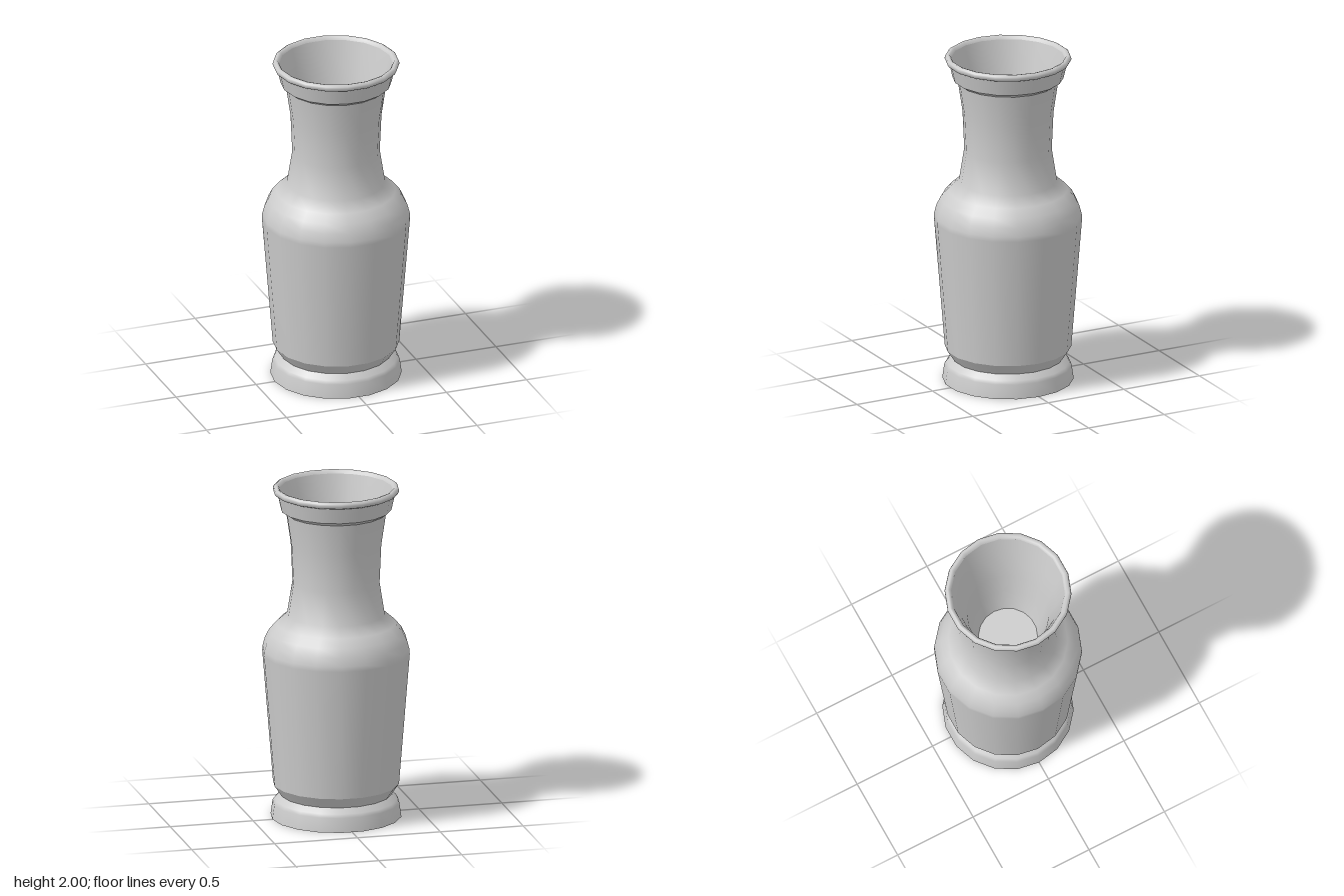
import * as THREE from 'three';

const SIDES = 18;

// Each section is a smooth [radius, height] profile; creases fall between sections.
const SECTIONS = {
  baseUnderside: [[0, 0], [0.384, 0]],
  foot: [[0.384, 0], [0.372, 0.085], [0.358, 0.105], [0.326, 0.135]],
  footBevel: [[0.326, 0.135], [0.37, 0.2]],
  body: [
    [0.37, 0.2], [0.433, 0.99], [0.431, 1.02], [0.418, 1.07], [0.393, 1.12],
    [0.35, 1.17], [0.287, 1.225], [0.256, 1.42], [0.266, 1.65], [0.294, 1.84],
  ],
  collarUnderside: [[0.294, 1.84], [0.325, 1.862]],
  collar: [[0.325, 1.862], [0.346, 1.955]],
  lip: [
    [0.346, 1.955], [0.363, 1.962], [0.371, 1.977], [0.368, 1.991],
    [0.355, 2], [0.341, 1.996], [0.332, 1.98],
  ],
  innerWall: [[0.332, 1.98], [0.285, 1.8], [0.24, 1.6], [0.215, 1.42], [0.173, 1.23]],
  innerFloor: [[0.173, 1.23], [0, 1.23]],
};

export function createModel() {
  const vase = new THREE.Group();
  vase.name = 'vase';
  const material = new THREE.MeshStandardMaterial({ color: 0xcccccc });

  // Turn every section around the axis, with a corner on the x axis
  for (const [name, profile] of Object.entries(SECTIONS)) {
    const points = profile.map(([r, y]) => new THREE.Vector2(r, y));
    const mesh = new THREE.Mesh(new THREE.LatheGeometry(points, SIDES, Math.PI / 2), material);
    mesh.name = name;
    vase.add(mesh);
  }
  return vase;
}
